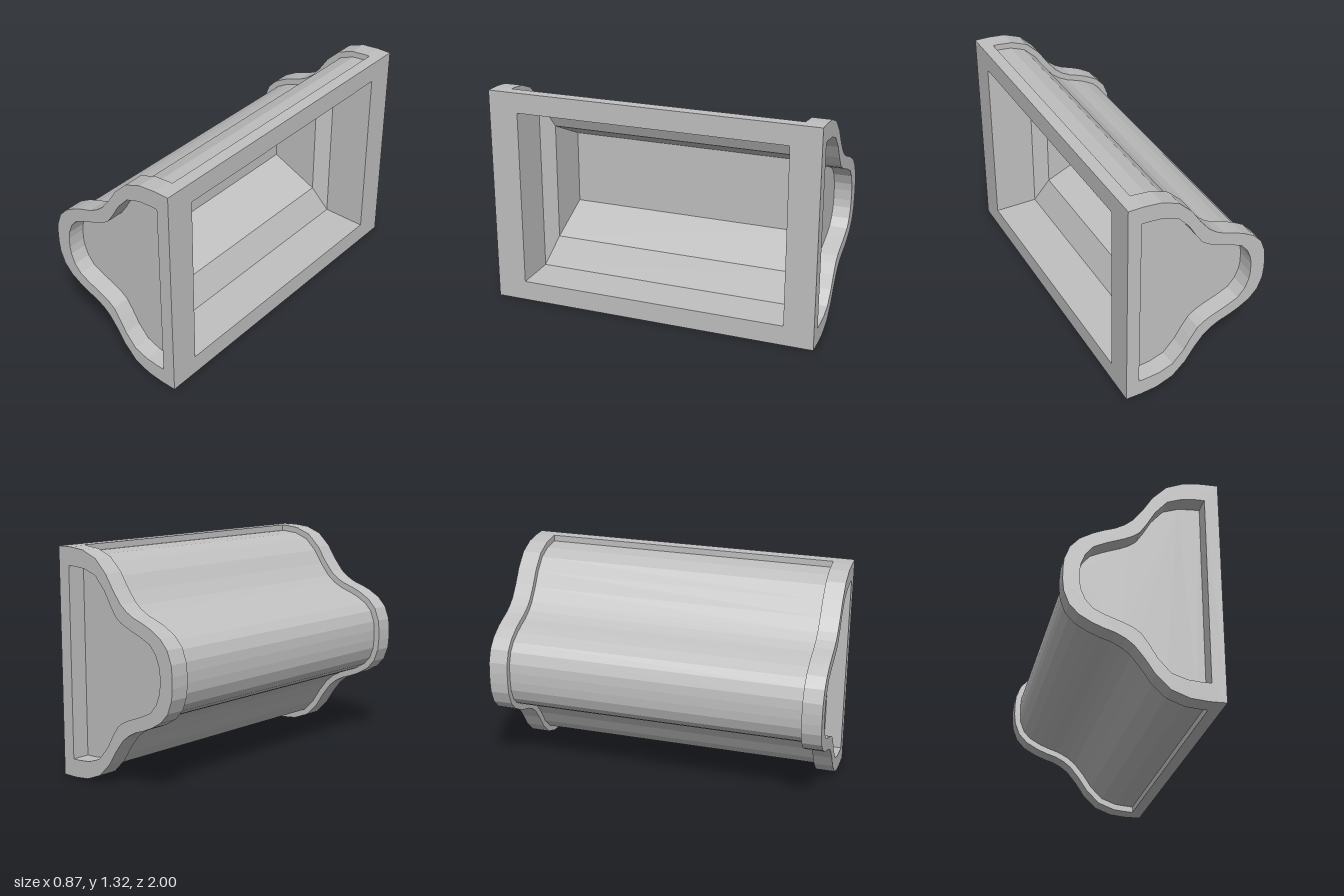
import * as THREE from 'three';

const HEIGHT = 1.317, FRONT = 0.432, SLAB_BACK = 0.36, RIM_Z = 0.885;

// Upper halves of the bell outlines, from the flat front edge to the nose
const OUTER = [[FRONT, 1.317], [0.338, 1.317], [0.237, 1.307], [0.136, 1.268], [0.056, 1.19],
  [0, 1.105], [-0.056, 1.035], [-0.1, 1], [-0.153, 0.972], [-0.216, 0.951], [-0.275, 0.927],
  [-0.348, 0.885], [-0.4, 0.829], [-0.429, 0.753], [-0.435, 0.69]];
const INNER = [[0.353, 1.212], [0.303, 1.211], [0.226, 1.204], [0.139, 1.174], [0.07, 1.098],
  [0.024, 1.021], [-0.017, 0.962], [-0.056, 0.934], [-0.1, 0.913], [-0.202, 0.875],
  [-0.272, 0.843], [-0.314, 0.794], [-0.338, 0.735], [-0.345, 0.69]];

// Completes an outline by mirroring it about mid height
function mirrored(half) {
  const top = half.map(([x, y]) => new THREE.Vector2(x, y));
  const bottom = half.map(([x, y]) => new THREE.Vector2(x, HEIGHT - y)).reverse();
  return [...top, ...bottom];
}

// Moves an open outline inwards along its normals
function inset(points, amount) {
  return points.map((p, i) => {
    const a = points[Math.max(i - 1, 0)], b = points[Math.min(i + 1, points.length - 1)];
    const d = b.clone().sub(a).normalize();
    return new THREE.Vector2(Math.min(p.x - d.y * amount, SLAB_BACK), p.y + d.x * amount);
  });
}

// Flat-faced surface from a list of four-cornered faces
function quads(faces) {
  const pos = [];
  for (const [a, b, c, d] of faces) pos.push(...a, ...b, ...c, ...a, ...c, ...d);
  const g = new THREE.BufferGeometry();
  g.setAttribute('position', new THREE.Float32BufferAttribute(pos, 3));
  g.computeVertexNormals();
  return g;
}

function extrude(shape, depth) {
  return new THREE.ExtrudeGeometry(shape, { depth, bevelEnabled: false });
}

function rectangle(z, y0, y1) {
  return [[-z, y0], [z, y0], [z, y1], [-z, y1]].map(([a, b]) => new THREE.Vector2(a, b));
}

export function createModel() {
  const model = new THREE.Group();
  model.name = 'bellShapedHousing';
  const grey = new THREE.MeshStandardMaterial({ color: 0xc0c0c0, flatShading: true });
  grey.name = 'grey';
  const add = (name, geometry) => {
    const mesh = new THREE.Mesh(geometry, grey);
    mesh.name = name;
    model.add(mesh);
  };

  const outer = mirrored(OUTER), inner = mirrored(INNER);

  // Raised rims and recessed panels at both ends
  const rim = new THREE.Shape(outer);
  rim.holes.push(new THREE.Path(inner));
  const panel = new THREE.Shape(inner);
  for (const [side, rimZ, panelZ] of [['front', RIM_Z, RIM_Z], ['back', -1, -RIM_Z - 0.008]]) {
    add(side + 'Rim', extrude(rim, 1 - RIM_Z).translate(0, 0, rimZ));
    add(side + 'Panel', extrude(panel, 0.008).translate(0, 0, panelZ));
  }

  // Curved shell between the rims
  const shell = inset(outer, 0.037);
  const faces = [];
  for (let i = 0; i < shell.length - 1; i++) {
    const p = shell[i], q = shell[i + 1];
    faces.push([[p.x, p.y, -RIM_Z], [q.x, q.y, -RIM_Z], [q.x, q.y, RIM_Z], [p.x, p.y, RIM_Z]]);
  }
  add('shell', quads(faces));

  // Flat frame around the opening
  const frame = new THREE.Shape(rectangle(RIM_Z, 0, HEIGHT));
  frame.holes.push(new THREE.Path(rectangle(0.82, 0.121, HEIGHT - 0.121)));
  add('openingFrame', extrude(frame, FRONT - SLAB_BACK).rotateY(Math.PI / 2).translate(SLAB_BACK, 0, 0));

  // Stepped cavity: depth x, bottom y, half length z
  const loops = [[SLAB_BACK, 0.121, 0.82], [0.16, 0.121, 0.82], [0.08, 0.295, 0.755], [-0.225, 0.43, 0.755]]
    .map(([x, y, z]) => [[x, y, z], [x, y, -z], [x, HEIGHT - y, -z], [x, HEIGHT - y, z]]);
  const walls = [];
  for (let i = 0; i < loops.length - 1; i++) {
    for (let k = 0; k < 4; k++) {
      const n = (k + 1) % 4;
      walls.push([loops[i][k], loops[i][n], loops[i + 1][n], loops[i + 1][k]]);
    }
  }
  walls.push(loops[loops.length - 1]);
  add('cavity', quads(walls));

  return model;
}
